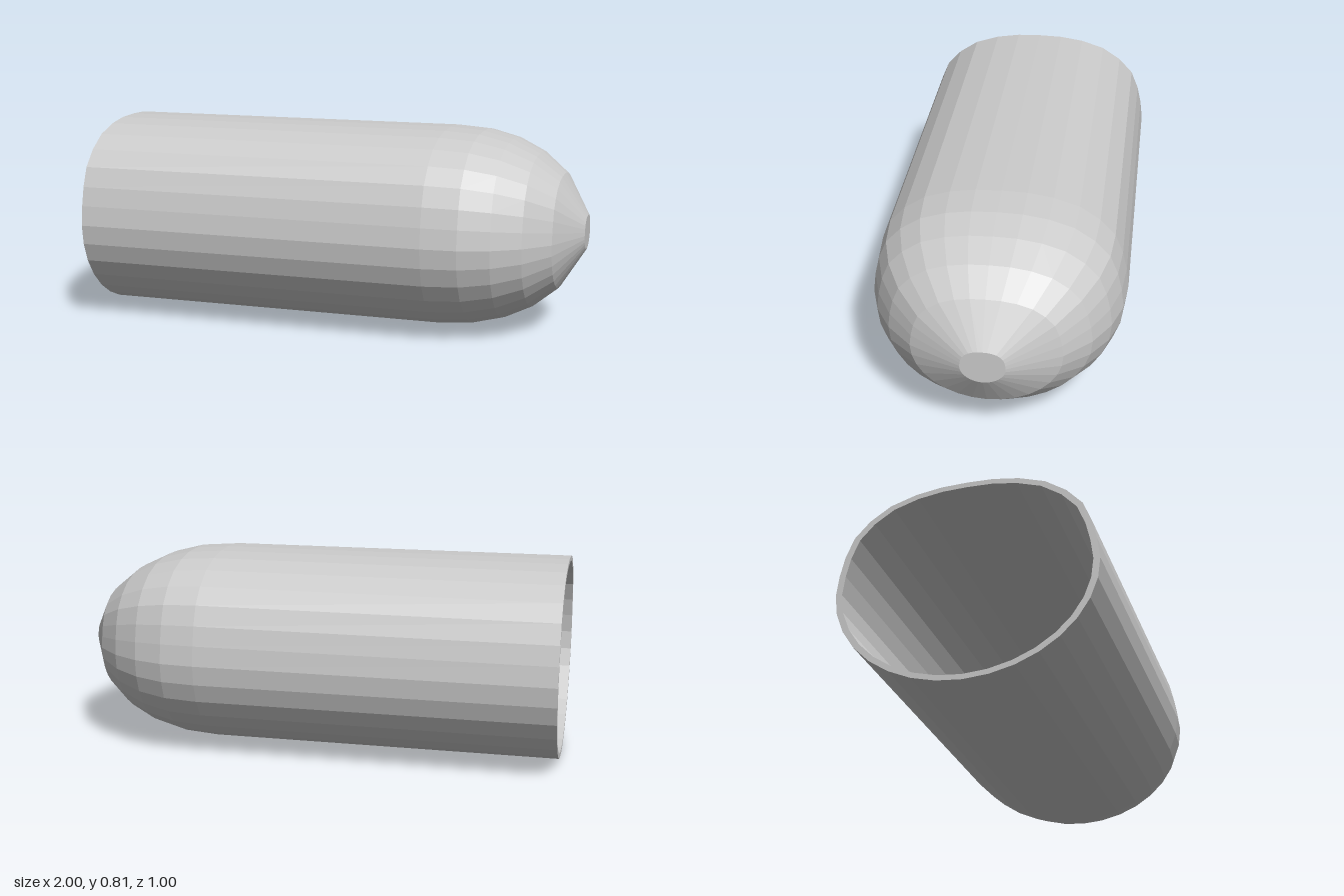
import * as THREE from 'three';

const MID = 0.405; // height of the long axis

// Half cross-section as [z, height above the axis], top to bottom
function sectionPoints() {
  const half = [[0, 0.403], [0.1, 0.4], [0.2, 0.385], [0.3, 0.353], [0.38, 0.3],
    [0.44, 0.235], [0.472, 0.157], [0.49, 0.08]];
  for (let i = 0; i <= 8; i++) {
    const a = (i / 8) * Math.PI / 2;
    half.push([0.5 * Math.cos(a), -0.405 * Math.sin(a)]);
  }
  // Mirror to close the loop, then run it from +z up towards the top
  const mirrored = half.slice(1, -1).reverse().map(([z, y]) => [-z, y]);
  return [...half, ...mirrored].reverse();
}

// Skin a list of [x, scale] stations with the cross-section
function loft(stations, section) {
  const n = section.length;
  const positions = [];
  const index = [];
  for (const [x, s] of stations) {
    for (const [z, y] of section) positions.push(x, MID + y * s, z * s);
  }
  for (let i = 0; i < stations.length - 1; i++) {
    for (let j = 0; j < n; j++) {
      const k = (j + 1) % n;
      const a = i * n + j, b = i * n + k, c = a + n, d = b + n;
      if (stations[i][1] > 0) index.push(a, b, c);
      if (stations[i + 1][1] > 0) index.push(b, d, c);
    }
  }
  const indexed = new THREE.BufferGeometry();
  indexed.setAttribute('position', new THREE.Float32BufferAttribute(positions, 3));
  indexed.setIndex(index);
  const geometry = indexed.toNonIndexed();
  geometry.computeVertexNormals();
  return geometry;
}

export function createModel() {
  const group = new THREE.Group();
  group.name = 'capsuleShell';

  // Outer skin: flat tip, rounded nose, straight barrel
  const outer = [[1, 0], [1, 0.17], [0.9, 0.57], [0.8, 0.77], [0.69, 0.9],
    [0.57, 0.975], [0.43, 1], [-1, 1]];
  // Inner skin follows the outer one, from the open end back to the nose
  const inner = outer.slice().reverse().map(([x, s]) => [x > 0.5 ? x - 0.025 : x, s * 0.95]);

  const shell = new THREE.Mesh(
    loft([...outer, ...inner], sectionPoints()),
    new THREE.MeshStandardMaterial({ color: 0xcccccc, flatShading: true })
  );
  shell.name = 'hollowShell';
  group.add(shell);
  return group;
}
